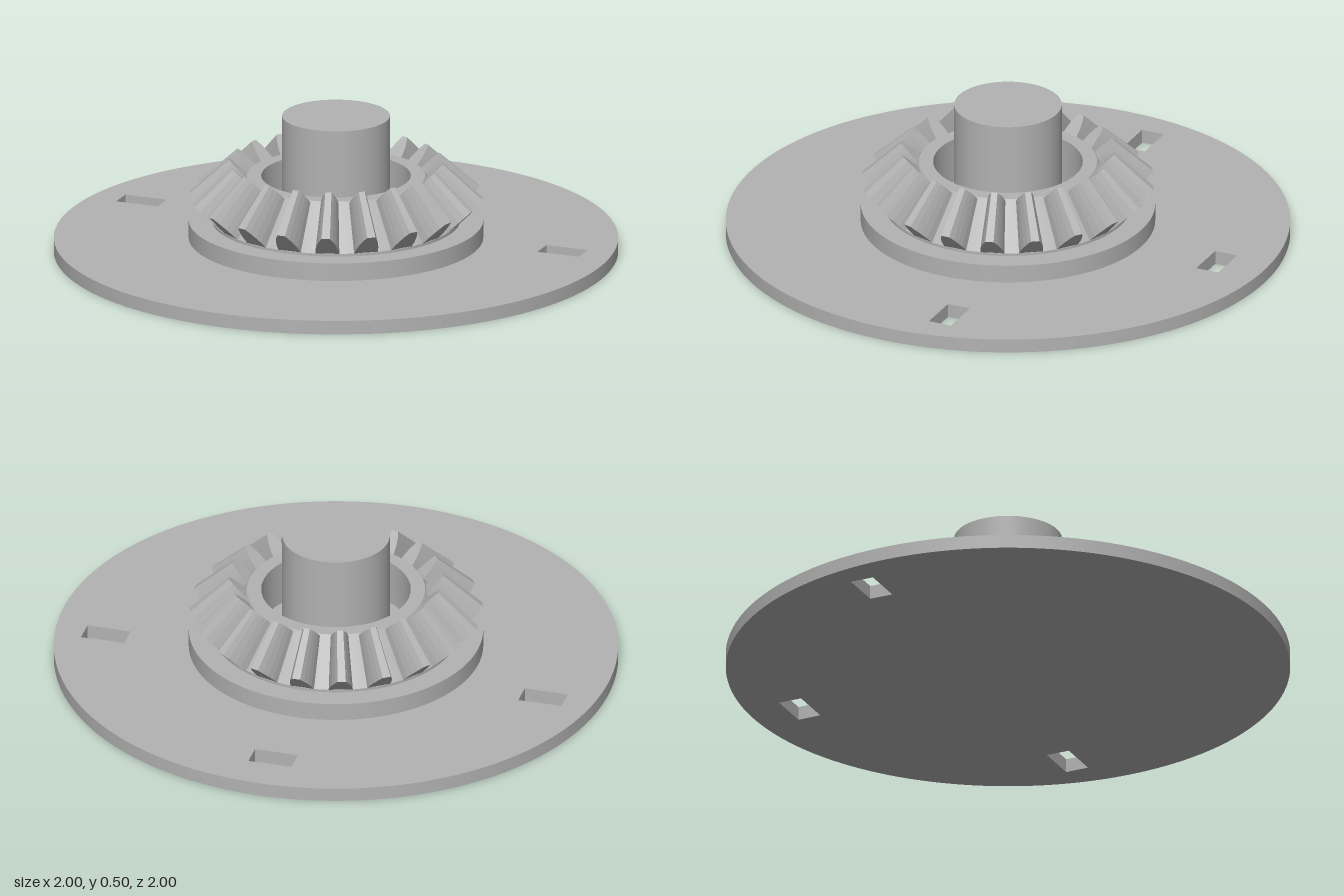
import * as THREE from 'three';
import { toCreasedNormals } from 'three/addons/utils/BufferGeometryUtils.js';
import { ConvexGeometry } from 'three/addons/geometries/ConvexGeometry.js';

const TEETH = 20;
const APEX_Y = 0.68; // all tooth edges converge on this point of the axis

// One straight bevel tooth pointing along +x, tapering towards the apex
function toothGeometry() {
  // [height from root to tip, half width] on the outer end
  const profile = [[-0.08, 0.044], [0.3, 0.04], [0.55, 0.034], [0.8, 0.025], [1, 0.015]];
  const points = [];
  for (const scale of [1, 0.73]) {
    for (const [t, half] of profile) {
      const r = 0.435 + 0.085 * t;
      const y = 0.122 + 0.083 * t;
      for (const side of [-1, 1]) {
        points.push(new THREE.Vector3(r * scale, APEX_Y + (y - APEX_Y) * scale, side * half * scale));
      }
    }
  }
  return new ConvexGeometry(points);
}

export function createModel() {
  const model = new THREE.Group();
  model.name = 'bevelGearOnPlate';
  const grey = new THREE.MeshStandardMaterial({ color: 0xb2b2b2 });
  grey.name = 'grey';

  const add = (name, geometry, parent = model) => {
    const mesh = new THREE.Mesh(geometry, grey);
    mesh.name = name;
    parent.add(mesh);
    return mesh;
  };

  // Base plate with three rectangular slots
  const disc = new THREE.Shape().absarc(0, 0, 1, 0, Math.PI * 2, false);
  for (const [x, y] of [[0, 0.818], [0.805, 0.151], [-0.805, 0.151]]) {
    const w = 0.079, h = 0.043;
    disc.holes.push(new THREE.Path([
      new THREE.Vector2(x - w, y - h), new THREE.Vector2(x - w, y + h),
      new THREE.Vector2(x + w, y + h), new THREE.Vector2(x + w, y - h),
    ]));
  }
  const plate = new THREE.ExtrudeGeometry(disc, { depth: 0.05, bevelEnabled: false, curveSegments: 96 });
  plate.rotateX(-Math.PI / 2);
  add('basePlate', toCreasedNormals(plate, 0.5));

  // Raised step under the gear
  add('hubStep', new THREE.CylinderGeometry(0.522, 0.522, 0.065, 96)).position.y = 0.0825;

  // Conical gear body with an open bore
  const body = [[0.265, 0.115], [0.44, 0.115], [0.44, 0.125], [0.316, 0.28], [0.265, 0.28], [0.265, 0.115]]
    .map(([r, y]) => new THREE.Vector2(r, y));
  add('gearBody', toCreasedNormals(new THREE.LatheGeometry(body, 80), 0.5));

  // Ring of teeth
  const teeth = new THREE.Group();
  teeth.name = 'gearTeeth';
  model.add(teeth);
  const tooth = toothGeometry();
  for (let i = 0; i < TEETH; i++) {
    add('tooth', tooth, teeth).rotation.y = (i / TEETH) * Math.PI * 2;
  }

  // Central shaft
  add('shaft', new THREE.CylinderGeometry(0.191, 0.191, 0.39, 64)).position.y = 0.307;

  return model;
}
